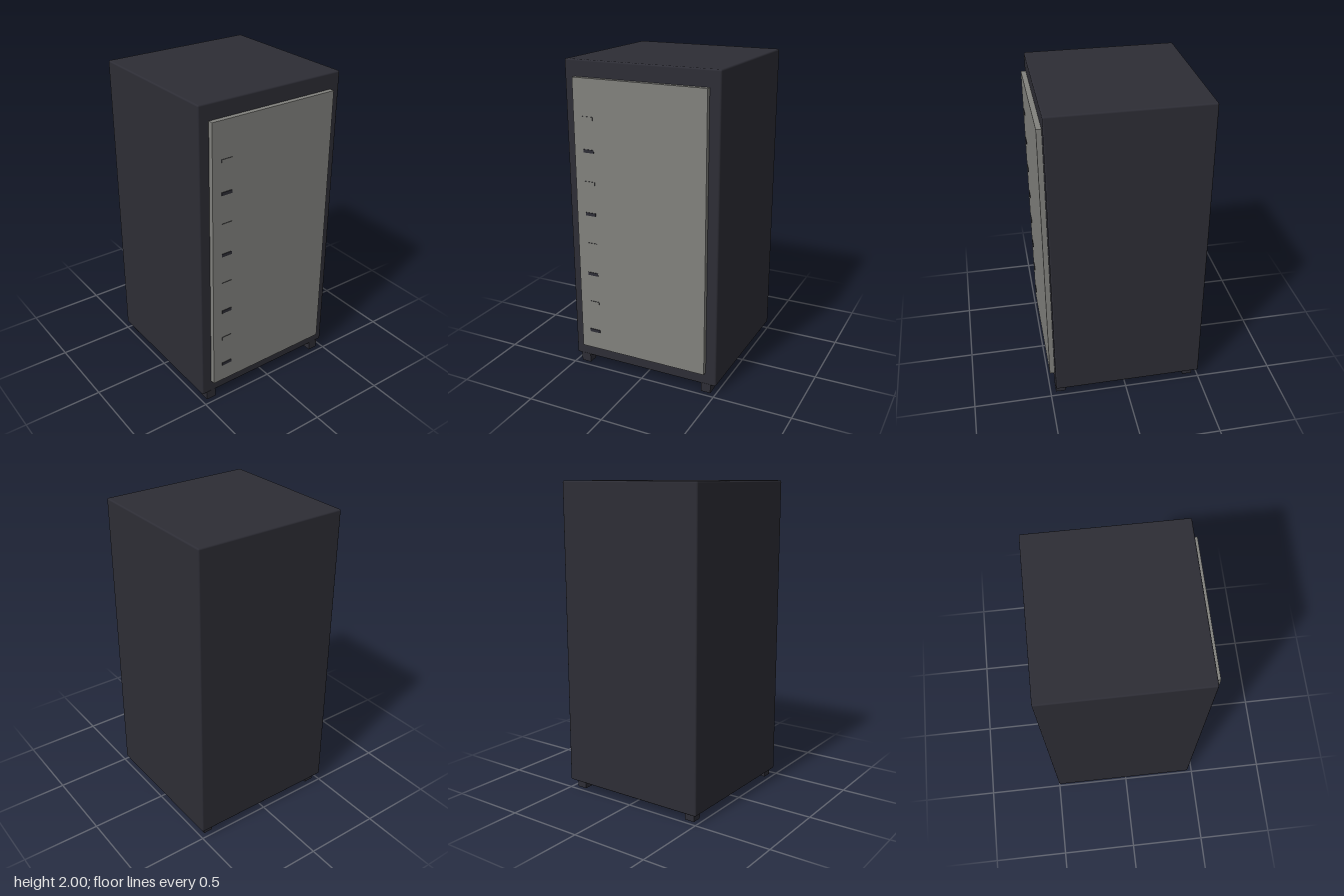
import * as THREE from 'three';
import { RoundedBoxGeometry } from 'three/addons/geometries/RoundedBoxGeometry.js';

export function createModel() {
  const model = new THREE.Group();
  model.name = 'cabinet';
  const dark = new THREE.MeshStandardMaterial({ name: 'charcoal', color: 0x2d2d35 });
  const grey = new THREE.MeshStandardMaterial({ name: 'doorGrey', color: 0x81817d });

  // Adds a mesh spanning the given minimum and maximum corners, optionally rounded
  function block(name, min, max, material, radius = 0) {
    const size = max.map((v, i) => v - min[i]);
    const geometry = radius
      ? new RoundedBoxGeometry(...size, 2, radius)
      : new THREE.BoxGeometry(...size);
    const mesh = new THREE.Mesh(geometry, material);
    mesh.name = name;
    mesh.position.set(...max.map((v, i) => (v + min[i]) / 2));
    model.add(mesh);
    return mesh;
  }

  // Closed body and the door standing proud of its front
  block('body', [-0.5, 0.053, -0.5], [0.5, 2, 0.465], dark, 0.01);
  block('door', [-0.432, 0.137, 0.455], [0.432, 1.9, 0.496], grey);

  // Column of pulls: alternate ones have a face in the door colour
  // (box material order: right, left, top, bottom, front, back)
  const greyFaced = [dark, dark, dark, dark, grey, dark];
  for (let i = 0; i < 8; i++) {
    const y = 0.263 + i * 0.2;
    block('pull' + (i + 1), [-0.37, y - 0.01, 0.49], [-0.3, y + 0.01, 0.5],
      i % 2 ? greyFaced : dark);
  }

  // Four square feet under the corners
  for (const x of [-0.433, 0.433]) {
    for (const z of [-0.433, 0.433]) {
      block('foot', [x - 0.032, 0, z - 0.032], [x + 0.032, 0.06, z + 0.032], dark);
    }
  }
  return model;
}
